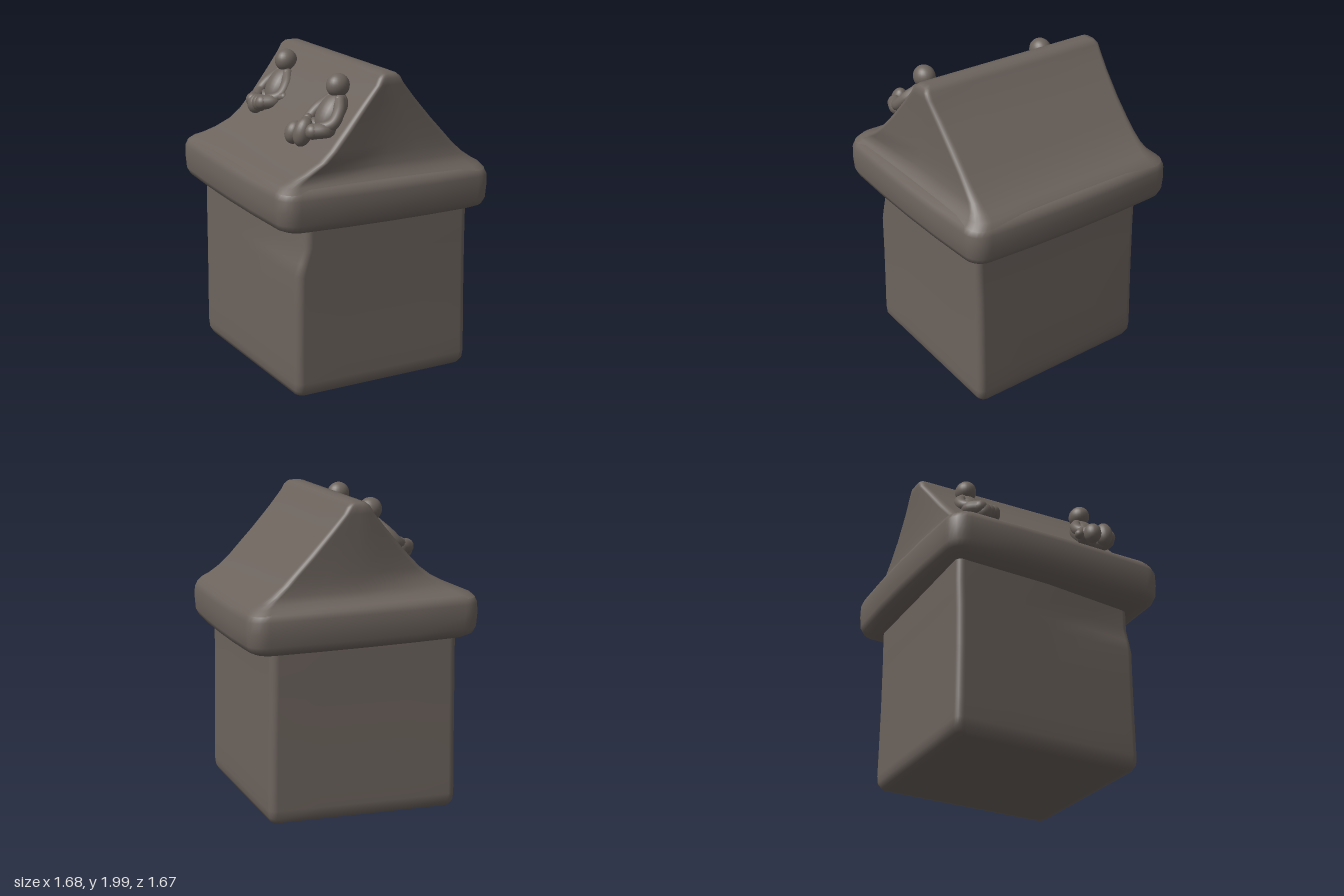
import * as THREE from 'three';

const stone = new THREE.MeshStandardMaterial({ color: 0x6c635d });
stone.name = 'stone';
const { clamp, smoothstep } = THREE.MathUtils;

// Stacks rounded rectangles [y, halfWidth, zBack, zFront, cornerRadius] into a smooth closed solid.
// The sides bow outwards by bulge, and warp bends the finished block out of square.
function loft(name, sections, bulge, warp) {
  const pos = [], index = [], steps = 7, mids = 3, n = (steps + mids) * 4;
  for (const [y, hx, z0, z1, r] of sections) {
    for (let c = 0; c < 4; c++) {
      const corner = (q, a) => [
        (q === 0 || q === 3 ? hx - r : r - hx) + r * Math.cos(a),
        (q < 2 ? z1 - r : z0 + r) + r * Math.sin(a),
      ];
      const end = (c + 1) * Math.PI / 2;
      const ring = [];
      for (let k = 0; k < steps; k++) ring.push(corner(c, (c + k / (steps - 1)) * Math.PI / 2));
      const [ax, az] = corner(c, end), [bx, bz] = corner((c + 1) % 4, end);
      for (let k = 1; k <= mids; k++) {
        const t = k / (mids + 1), out = hx > 0 ? bulge * 4 * t * (1 - t) : 0;
        ring.push([ax + (bx - ax) * t + out * Math.cos(end), az + (bz - az) * t + out * Math.sin(end)]);
      }
      for (const [x, z] of ring) pos.push(...warp(x, y, z));
    }
  }
  for (let i = 0; i < sections.length - 1; i++) {
    for (let j = 0; j < n; j++) {
      const a = i * n + j, b = i * n + (j + 1) % n;
      index.push(a, a + n, b, b, a + n, b + n);
    }
  }
  const geo = new THREE.BufferGeometry();
  geo.setAttribute('position', new THREE.Float32BufferAttribute(pos, 3));
  geo.setIndex(index);
  geo.computeVertexNormals();
  const mesh = new THREE.Mesh(geo, stone);
  mesh.name = name;
  return mesh;
}

function blob(name, p, s, rotX = 0, rotZ = 0) {
  const mesh = new THREE.Mesh(new THREE.SphereGeometry(1, 24, 16), stone);
  mesh.name = name;
  mesh.position.set(...p);
  mesh.scale.set(...s);
  mesh.rotation.set(rotX, 0, rotZ);
  return mesh;
}

// Curved limb with rounded ends
function limb(name, points, r) {
  const group = new THREE.Group();
  group.name = name;
  const curve = new THREE.CatmullRomCurve3(points.map(p => new THREE.Vector3(...p)));
  group.add(new THREE.Mesh(new THREE.TubeGeometry(curve, 20, r, 12), stone));
  for (const p of [points[0], points[points.length - 1]]) group.add(blob(name + 'End', p, [r, r, r]));
  return group;
}

// Small seated figure; the origin is the centre of its head
function figure(name, feet) {
  const g = new THREE.Group();
  g.name = name;
  g.add(blob('head', [0, 0, 0], [0.067, 0.073, 0.075]));
  g.add(blob('torso', [0, -0.16, 0.05], [0.095, 0.14, 0.08], -0.65));
  for (const s of [-1, 1]) {
    g.add(limb('arm', [[s * 0.04, -0.085, 0.02], [s * 0.095, -0.14, 0.07], [s * 0.11, -0.2, 0.13], [s * 0.06, -0.23, 0.2]], 0.038));
    g.add(limb('leg', [[s * 0.04, -0.24, 0.1], [s * 0.09, -0.235, 0.16], [s * 0.05, -0.24, 0.23]], 0.048));
  }
  for (const [x, y, z, h] of feet) g.add(blob('foot', [x, y, z], [0.055, h, 0.06], -0.3, -0.1));
  return g;
}

export function createModel() {
  const model = new THREE.Group();
  model.name = 'plinth';
  const block = new THREE.Group();
  block.name = 'block';
  block.rotation.y = -0.158;
  model.add(block);

  // Body, a little out of square and worn back at the upper right front corner
  const bodyWarp = (x, y, z) => {
    const worn = z > 0 ? 0.05 * smoothstep(y, 0.8, 0.98) * clamp(x / 0.6, 0, 1) : 0;
    return [x - 0.03 * z, y - 0.012 * x, z - 0.03 * x - worn];
  };
  block.add(loft('body', [
    [0.01, 0, 0, 0, 0],
    [0.01, 0.57, -0.56, 0.55, 0.05],
    [0.016, 0.61, -0.595, 0.585, 0.05],
    [0.05, 0.632, -0.612, 0.6, 0.05],
    [0.1, 0.636, -0.617, 0.604, 0.05],
    [0.22, 0.634, -0.616, 0.604, 0.05],
    [0.55, 0.632, -0.61, 0.6, 0.05],
    [0.8, 0.634, -0.605, 0.597, 0.05],
    [0.88, 0.635, -0.603, 0.596, 0.05],
    [0.98, 0.637, -0.602, 0.594, 0.05],
    [1.2, 0.638, -0.6, 0.59, 0.05],
  ], 0, bodyWarp));

  // Overhanging slab, slightly tilted
  const tilt = (x, z) => -0.02 * x + 0.02 * z;
  block.add(loft('slab', [
    [1.1, 0, 0, 0, 0],
    [1.1, 0.62, -0.62, 0.62, 0.08],
    [1.108, 0.69, -0.68, 0.675, 0.1],
    [1.13, 0.73, -0.72, 0.715, 0.11],
    [1.17, 0.747, -0.74, 0.735, 0.12],
    [1.25, 0.752, -0.745, 0.74, 0.12],
    [1.32, 0.75, -0.743, 0.738, 0.12],
    [1.355, 0.737, -0.73, 0.725, 0.12],
    [1.375, 0.71, -0.705, 0.7, 0.11],
    [1.385, 0.66, -0.66, 0.66, 0.1],
    [1.385, 0, 0, 0, 0],
  ], 0.018, (x, y, z) => [x, y + tilt(x, z), z]));

  // Gabled top with concave slopes and a rounded ridge; its front half leans to the left
  const roofWarp = (x, y, z) => [
    x + 0.13 * Math.max(0, z) * clamp((y - 1.39) / 0.14, 0, 1),
    y + tilt(x, z) * clamp((1.6 - y) / 0.25, 0, 1),
    z,
  ];
  block.add(loft('gabledRoof', [
    [1.355, 0.735, -0.73, 0.725, 0.11],
    [1.385, 0.7, -0.705, 0.7, 0.1],
    [1.41, 0.672, -0.655, 0.645, 0.08],
    [1.45, 0.655, -0.59, 0.56, 0.06],
    [1.51, 0.648, -0.515, 0.46, 0.05],
    [1.57, 0.645, -0.455, 0.387, 0.045],
    [1.68, 0.645, -0.35, 0.28, 0.045],
    [1.82, 0.65, -0.225, 0.155, 0.04],
    [1.925, 0.658, -0.137, 0.062, 0.035],
    [1.965, 0.656, -0.115, 0.04, 0.035],
    [1.988, 0.64, -0.09, 0.015, 0.03],
    [1.996, 0.6, -0.06, -0.02, 0.01],
    [1.996, 0, -0.04, -0.04, 0],
  ], 0, roofWarp));

  // Two small figures seated on the front slope
  const rightOne = figure('rightFigure', [[-0.02, -0.26, 0.225, 0.065], [0.015, -0.25, 0.22, 0.055]]);
  rightOne.add(limb('outerKnee', [[0.06, -0.22, 0.16], [0.15, -0.2, 0.13]], 0.028));
  rightOne.position.set(-0.385, 1.91, 0.075);
  const leftOne = figure('leftFigure', [[-0.105, -0.27, 0.25, 0.072], [-0.01, -0.25, 0.255, 0.09]]);
  leftOne.add(limb('outerKnee', [[-0.1, -0.2, 0.15], [-0.14, -0.25, 0.16]], 0.032));
  leftOne.position.set(0.42, 1.91, 0.285);
  model.add(rightOne, leftOne);
  return model;
}
